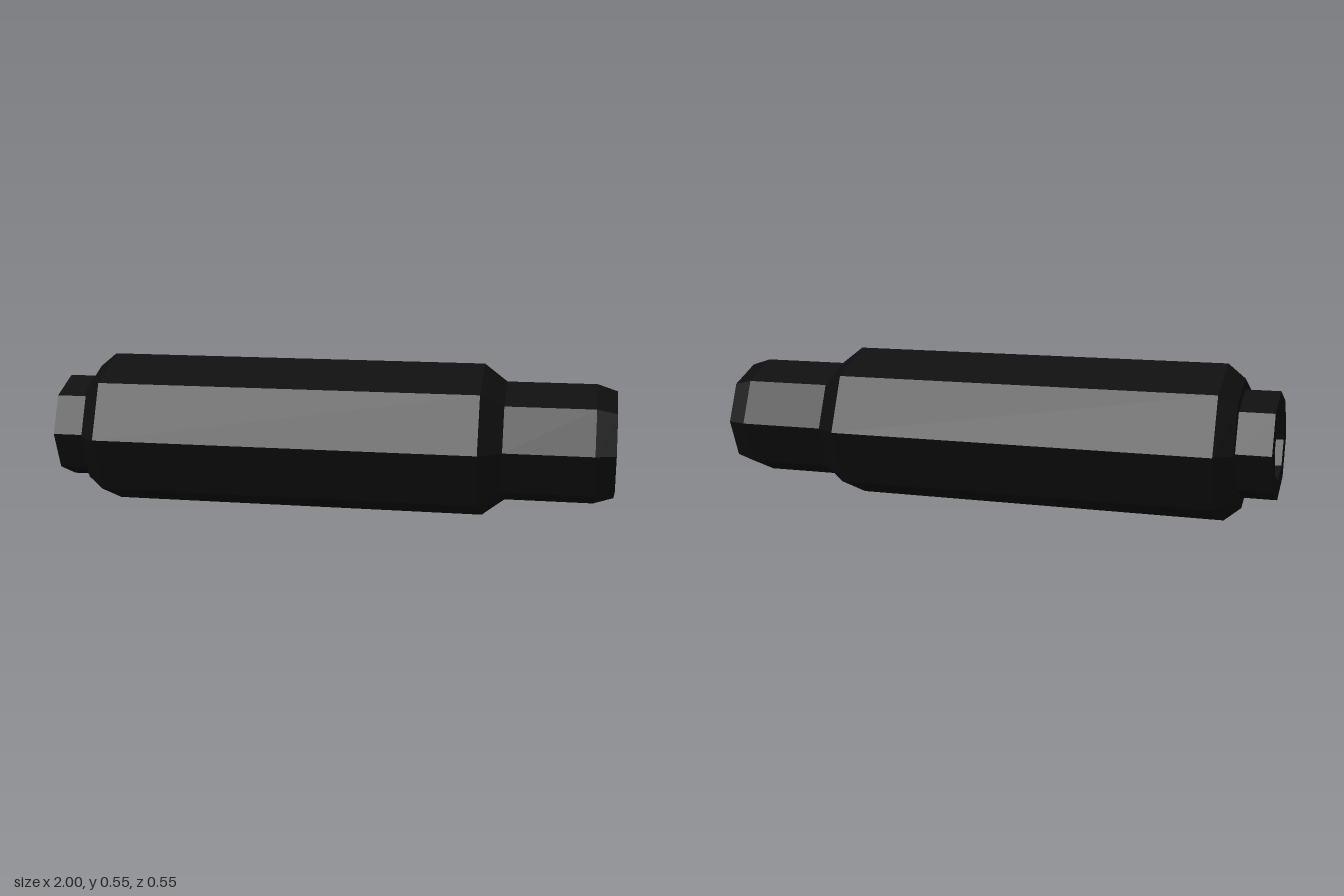
import * as THREE from 'three';

const SIDES = 8;
const AXIS_HEIGHT = 0.274;

// Faceted eight-sided turning along x, from [radius, x] pairs running left to right
function turned(name, profile, material) {
  const points = profile.map(([r, x]) => new THREE.Vector2(r, x));
  const geometry = new THREE.LatheGeometry(points, SIDES).toNonIndexed();
  geometry.computeVertexNormals();
  geometry.rotateZ(-Math.PI / 2);
  const mesh = new THREE.Mesh(geometry, material);
  mesh.name = name;
  mesh.position.y = AXIS_HEIGHT;
  return mesh;
}

export function createModel() {
  const black = new THREE.MeshStandardMaterial({ color: 0x0d0d0d });
  black.name = 'matte black';

  const model = new THREE.Group();
  model.name = 'octagonalTube';

  // Narrow collar with a recessed socket
  model.add(turned('collar', [
    [0, -0.9], [0.12, -0.9], [0.12, -1], [0.188, -1], [0.188, -0.88],
  ], black));

  // Long main sleeve with chamfered ends
  model.add(turned('sleeve', [
    [0.188, -0.88], [0.225, -0.88], [0.274, -0.82], [0.274, 0.54], [0.213, 0.62],
  ], black));

  // Slimmer nose with a bevelled rim and a blind bore
  model.add(turned('nose', [
    [0.213, 0.62], [0.213, 0.93], [0.19, 1], [0.102, 1], [0.102, 0.9], [0, 0.9],
  ], black));

  return model;
}
